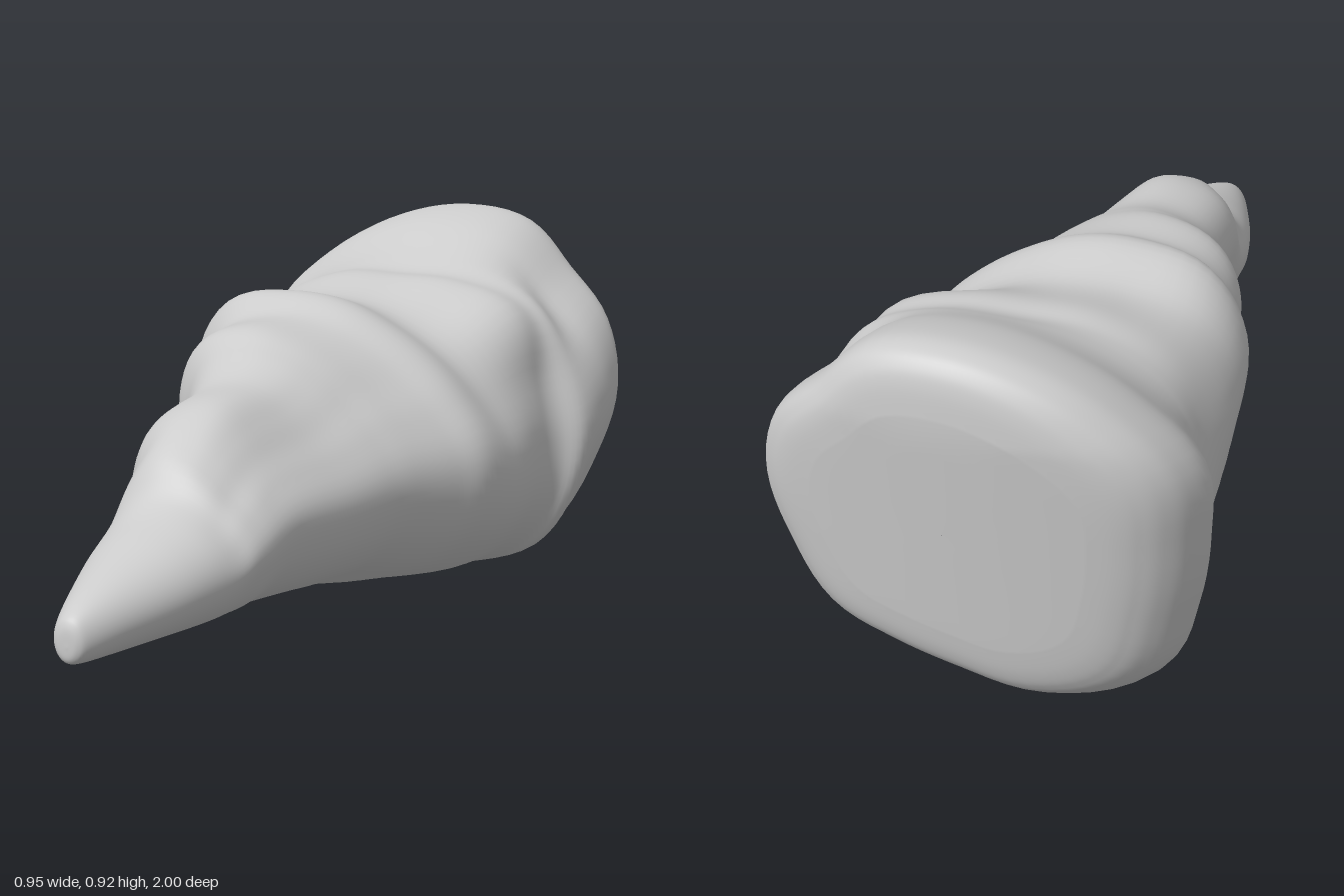
import * as THREE from 'three';

// Extents of the rock along its length: z, left x, right x, bottom y, top y
const STATIONS = [
  [1.0, 0.012, 0.018, 0.255, 0.262], [0.996, -0.012, 0.04, 0.228, 0.3], [0.975, -0.03, 0.06, 0.217, 0.325],
  [0.9, -0.06, 0.097, 0.213, 0.36], [0.75, -0.112, 0.157, 0.208, 0.415], [0.62, -0.145, 0.197, 0.202, 0.468],
  [0.54, -0.16, 0.217, 0.198, 0.555], [0.4, -0.175, 0.227, 0.182, 0.635], [0.22, -0.188, 0.262, 0.167, 0.657],
  [0.1, -0.24, 0.292, 0.149, 0.705], [0.02, -0.305, 0.32, 0.135, 0.738], [-0.1, -0.32, 0.37, 0.112, 0.75],
  [-0.2, -0.388, 0.41, 0.09, 0.79], [-0.35, -0.41, 0.417, 0.056, 0.757], [-0.5, -0.415, 0.405, 0.025, 0.79],
  [-0.58, -0.422, 0.415, 0.008, 0.795], [-0.65, -0.435, 0.465, 0, 0.825], [-0.78, -0.478, 0.475, 0.015, 0.89],
  [-0.89, -0.46, 0.468, 0.04, 0.92], [-0.95, -0.425, 0.455, 0.07, 0.915], [-0.98, -0.385, 0.425, 0.1, 0.89],
  [-0.994, -0.34, 0.385, 0.145, 0.85], [-1.0, -0.28, 0.32, 0.21, 0.785],
];

// Cross-section radii at 16 even angles, counter-clockwise from +x
const OUTLINES = [
  { z: 0.68, r: Array(16).fill(0.2) },
  { z: 0.52, r: [.19, .165, .145, .155, .18, .205, .19, .175, .185, .185, .19, .185, .185, .185, .19, .19] },
  { z: 0.4, r: [.205, .17, .155, .17, .205, .22, .23, .215, .19, .185, .205, .22, .22, .21, .21, .21] },
  { z: 0.0, r: [.31, .27, .245, .255, .285, .33, .36, .335, .29, .25, .25, .29, .31, .3, .31, .315] },
  { z: -0.27, r: [.405, .35, .32, .315, .34, .38, .445, .44, .39, .335, .35, .38, .36, .365, .4, .42] },
  { z: -0.55, r: [.4, .4, .455, .42, .395, .42, .44, .42, .41, .41, .46, .44, .385, .39, .42, .42] },
  { z: -0.75, r: [.475, .465, .435, .465, .46, .46, .475, .5, .475, .49, .54, .505, .44, .435, .475, .465] },
];

const SEGMENTS = 80;
const STEPS = 6; // rings between two stations

const cubic = (a, b, c, d, t) =>
  b + 0.5 * t * (c - a + t * (2 * a - 5 * b + 4 * c - d + t * (3 * (b - c) + d - a)));

// Radius of one outline at angle fraction u (0..1)
function radiusAt(r, u) {
  const f = u * 16, i = Math.floor(f);
  const g = (k) => r[(i + k + 16) % 16];
  return cubic(g(-1), g(0), g(1), g(2), f - i);
}

// Radius blended between the two outlines nearest to z
function blendedRadius(z, u) {
  let k = 0;
  while (k < OUTLINES.length - 2 && z < OUTLINES[k + 1].z) k++;
  const a = OUTLINES[k], b = OUTLINES[k + 1];
  const t = THREE.MathUtils.smoothstep(a.z - z, 0, a.z - b.z);
  return THREE.MathUtils.lerp(radiusAt(a.r, u), radiusAt(b.r, u), t);
}

// One ring of points, fitted to the extents of its station
function makeRing([z, x0, x1, y0, y1]) {
  const pts = [];
  for (let j = 0; j < SEGMENTS; j++) {
    const u = j / SEGMENTS, a = u * Math.PI * 2;
    const r = blendedRadius(z, u);
    pts.push(new THREE.Vector2(r * Math.cos(a), r * Math.sin(a)));
  }
  const box = new THREE.Box2().setFromPoints(pts);
  const size = box.getSize(new THREE.Vector2());
  // The broad end leans and is domed: its lower part and sides sit further forward
  const lean = THREE.MathUtils.clamp((-0.6 - z) / 0.38, 0, 1);
  return pts.map((p) => {
    const x = x0 + ((p.x - box.min.x) / size.x) * (x1 - x0);
    const y = y0 + ((p.y - box.min.y) / size.y) * (y1 - y0);
    return [x, y, z + lean * (0.1 * Math.max(0, 0.75 - y) + 0.25 * x * x)];
  });
}

function rockGeometry() {
  const rings = [];
  const last = STATIONS.length - 1;
  for (let i = 0; i < last; i++) {
    const s = [-1, 0, 1, 2].map((k) => STATIONS[THREE.MathUtils.clamp(i + k, 0, last)]);
    for (let n = 0; n < STEPS; n++) {
      rings.push(makeRing(s[0].map((_, c) => cubic(s[0][c], s[1][c], s[2][c], s[3][c], n / STEPS))));
    }
  }
  // Back face: rings shrinking to the middle of the last station
  const [z, x0, x1, y0, y1] = STATIONS[last];
  const cx = (x0 + x1) / 2, cy = (y0 + y1) / 2;
  for (const f of [1, 0.85, 0.7, 0.5, 0.3, 0.15, 0.001]) {
    const hx = (f * (x1 - x0)) / 2, hy = (f * (y1 - y0)) / 2;
    rings.push(makeRing([z, cx - hx, cx + hx, cy - hy, cy + hy]));
  }

  const index = [];
  for (let i = 0; i < rings.length - 1; i++) {
    for (let j = 0; j < SEGMENTS; j++) {
      const k = (j + 1) % SEGMENTS;
      const a = i * SEGMENTS + j, b = i * SEGMENTS + k;
      const c = a + SEGMENTS, d = b + SEGMENTS;
      index.push(a, c, b, b, c, d);
    }
  }
  // Cap of the narrow tip
  for (let j = 1; j < SEGMENTS - 1; j++) index.push(0, j, j + 1);

  const geometry = new THREE.BufferGeometry();
  geometry.setAttribute('position', new THREE.Float32BufferAttribute(rings.flat(2), 3));
  geometry.setIndex(index);
  geometry.computeVertexNormals();
  return geometry;
}

export function createModel() {
  const group = new THREE.Group();
  group.name = 'rockSpike';
  const rock = new THREE.Mesh(rockGeometry(), new THREE.MeshStandardMaterial({ color: 0xcccccc }));
  rock.name = 'rock';
  group.add(rock);
  return group;
}
